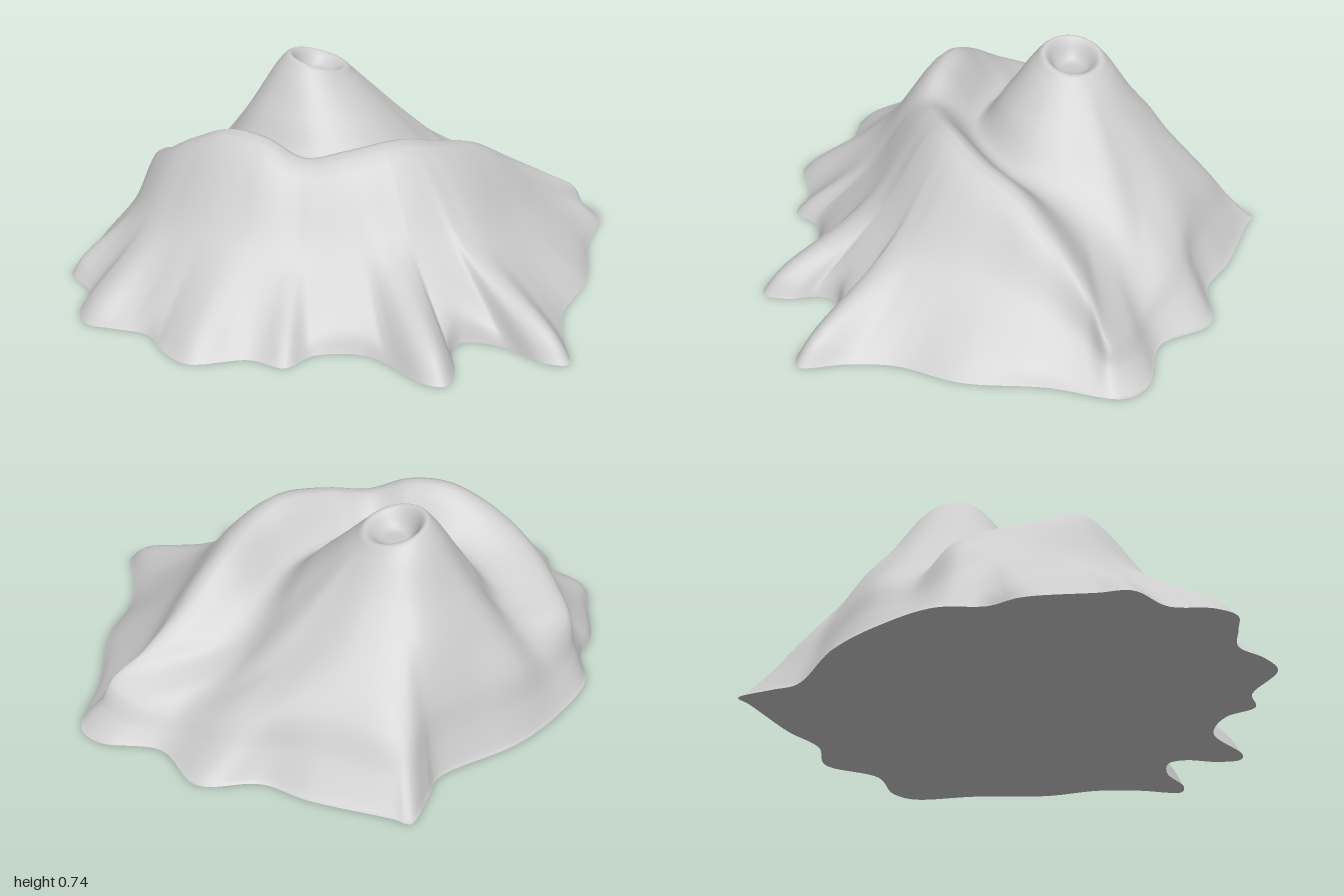
import * as THREE from 'three';

const CX = -0.33, CZ = -0.18; // axis of the inner cone
const SIDES = 400, STEPS = 7;
const { lerp, smoothstep } = THREE.MathUtils;

// Shoreline [x, z], starting at the back left corner
const shore = [
  [-0.66, -0.85], [-0.6, -0.85], [-0.3, -0.88], [-0.12, -0.87], [0.08, -0.96], [0.28, -0.85],
  [0.5, -0.9], [0.6, -0.86], [0.68, -0.6], [0.8, -0.33], [0.83, -0.1], [0.9, 0.05], [1, 0.2],
  [0.93, 0.24], [0.75, 0.235], [0.63, 0.29], [0.63, 0.36], [0.7, 0.46], [0.72, 0.55], [0.66, 0.58],
  [0.4, 0.55], [0.25, 0.65], [0.21, 0.77], [0.08, 0.8], [-0.08, 0.94], [-0.2, 0.93], [-0.32, 0.88],
  [-0.45, 0.92], [-0.55, 0.95], [-0.63, 0.9], [-0.7, 0.78], [-0.85, 0.72], [-0.88, 0.62],
  [-0.95, 0.4], [-0.94, 0.28], [-1, 0.13], [-0.96, -0.1], [-0.87, -0.32], [-0.67, -0.6], [-0.67, -0.7],
];

// Valley around the cone [x, y, z]
const valley = [
  [-0.72, 0.36, -0.15], [-0.7, 0.32, 0], [-0.64, 0.35, 0.08], [-0.5, 0.41, 0.15], [-0.33, 0.42, 0.17],
  [-0.13, 0.42, 0.13], [0.02, 0.42, 0], [0.1, 0.4, -0.15], [0.12, 0.35, -0.33], [0.13, 0.26, -0.5],
  [0.08, 0.22, -0.64], [-0.1, 0.33, -0.58], [-0.33, 0.43, -0.52], [-0.53, 0.43, -0.45], [-0.67, 0.38, -0.28],
];

// Crest of the outer ridge, continuing as a plain slope line round the open back
const crest = [
  [-0.9, 0.27, 0.13], [-0.8, 0.35, 0.24], [-0.68, 0.42, 0.33], [-0.52, 0.52, 0.36], [-0.35, 0.595, 0.345],
  [-0.2, 0.59, 0.325], [-0.05, 0.53, 0.29], [0.07, 0.555, 0.2], [0.2, 0.58, 0.05], [0.27, 0.54, -0.1],
  [0.31, 0.47, -0.3], [0.36, 0.36, -0.47], [0.44, 0.25, -0.63], [0.52, 0.16, -0.75], [0.4, 0.12, -0.78],
  [0.25, 0.1, -0.76], [0.02, 0.18, -0.77], [-0.33, 0.24, -0.7], [-0.57, 0.2, -0.68], [-0.6, 0.24, -0.54],
  [-0.69, 0.24, -0.4], [-0.82, 0.23, -0.2], [-0.86, 0.19, -0.02],
];

// Returns a lookup: angle about the cone axis -> { r, y } on a closed curve
function ring(points) {
  const curve = new THREE.CatmullRomCurve3(points.map((p) => new THREE.Vector3(...p)), true);
  const polar = curve.getPoints(600).slice(0, -1)
    .map((p) => ({ a: Math.atan2(p.z - CZ, p.x - CX), r: Math.hypot(p.x - CX, p.z - CZ), y: p.y }))
    .sort((p, q) => p.a - q.a);
  const first = polar[0], last = polar[polar.length - 1];
  polar.unshift({ ...last, a: last.a - 2 * Math.PI });
  polar.push({ ...first, a: first.a + 2 * Math.PI });
  return (a) => {
    const k = Math.max(1, polar.findIndex((p) => p.a >= a));
    const p = polar[k - 1], q = polar[k];
    const t = (a - p.a) / Math.max(q.a - p.a, 1e-6);
    return { r: lerp(p.r, q.r, t), y: lerp(p.y, q.y, t) };
  };
}

function buildGeometry(positions, index) {
  const geo = new THREE.BufferGeometry();
  geo.setAttribute('position', new THREE.Float32BufferAttribute(positions, 3));
  geo.setIndex(index);
  geo.computeVertexNormals();
  return geo;
}

export function createModel() {
  const group = new THREE.Group();
  group.name = 'volcano';
  const material = new THREE.MeshStandardMaterial({ color: 0xcccccc, roughness: 0.9 });

  const shoreCurve = new THREE.CatmullRomCurve3(shore.map(([x, z]) => new THREE.Vector3(x, 0, z)), true);
  const foot = shoreCurve.getSpacedPoints(SIDES).slice(0, SIDES);
  const radii = foot.map((p) => Math.hypot(p.x - CX, p.z - CZ));
  const valleyAt = ring(valley), crestAt = ring(crest);

  // Terrain: one radial profile for each shoreline point
  const pos = [], index = [];
  let rows = 0;
  foot.forEach((p, i) => {
    const a = Math.atan2(p.z - CZ, p.x - CX), c = Math.cos(a), s = Math.sin(a);
    const R = radii[i], v = valleyAt(a), k = crestAt(a);
    const ridged = smoothstep(Math.cos(a - 1.02), -0.15, 0.25); // 1 below the ridge, 0 at the open back

    // The upper slope follows a smoothed shoreline, so lobes only show near the foot
    let mean = 0;
    for (let d = -28; d <= 28; d++) mean += radii[(i + d + SIDES) % SIDES] * (29 - Math.abs(d)) / 841;
    const soft = lerp(R, mean, ridged);
    const slope = (r) => k.y * Math.pow(Math.max(0, 1 - (r - k.r) / (soft - k.r)), 1.25);
    const midR = Math.min(lerp(k.r, soft, 0.45), lerp(k.r, R, 0.7));
    const lipR = lerp(midR, R, 0.83);
    const lipY = Math.max(slope(lipR), ridged * (0.045 + 0.3 * Math.max(0, R - mean)));

    const rimY = 0.707 + 0.021 * (s - c);
    const profile = [
      [0, 0.648], [0.055, 0.654], [0.108, rimY], [0.145, rimY - 0.03],   // crater and rim
      [lerp(0.145, v.r, 0.5), lerp(rimY - 0.03, v.y, 0.53)], [v.r, v.y], // cone and valley
      [k.r, k.y], [midR, slope(midR)], [lipR, lipY], [R, 0],             // ridge and outer slope
    ].map(([r, y]) => new THREE.Vector3(r, y, 0));
    const line = new THREE.CatmullRomCurve3(profile).getPoints((profile.length - 1) * STEPS);
    rows = line.length;
    line.forEach((q) => pos.push(CX + q.x * c, Math.max(q.y, 0), CZ + q.x * s));
  });
  for (let i = 0; i < SIDES; i++) {
    for (let j = 0; j < rows - 1; j++) {
      const a = i * rows + j, b = ((i + 1) % SIDES) * rows + j;
      if (j > 0) index.push(a, b, a + 1);
      index.push(b, b + 1, a + 1);
    }
  }
  const terrain = new THREE.Mesh(buildGeometry(pos, index), material);
  terrain.name = 'mountainSlopes';
  group.add(terrain);

  // Flat underside
  const basePos = [CX, 0, CZ], baseIndex = [];
  foot.forEach((p, i) => {
    basePos.push(p.x, 0, p.z);
    baseIndex.push(0, i + 1, ((i + 1) % SIDES) + 1);
  });
  const base = new THREE.Mesh(buildGeometry(basePos, baseIndex), material);
  base.name = 'flatBase';
  group.add(base);

  return group;
}
